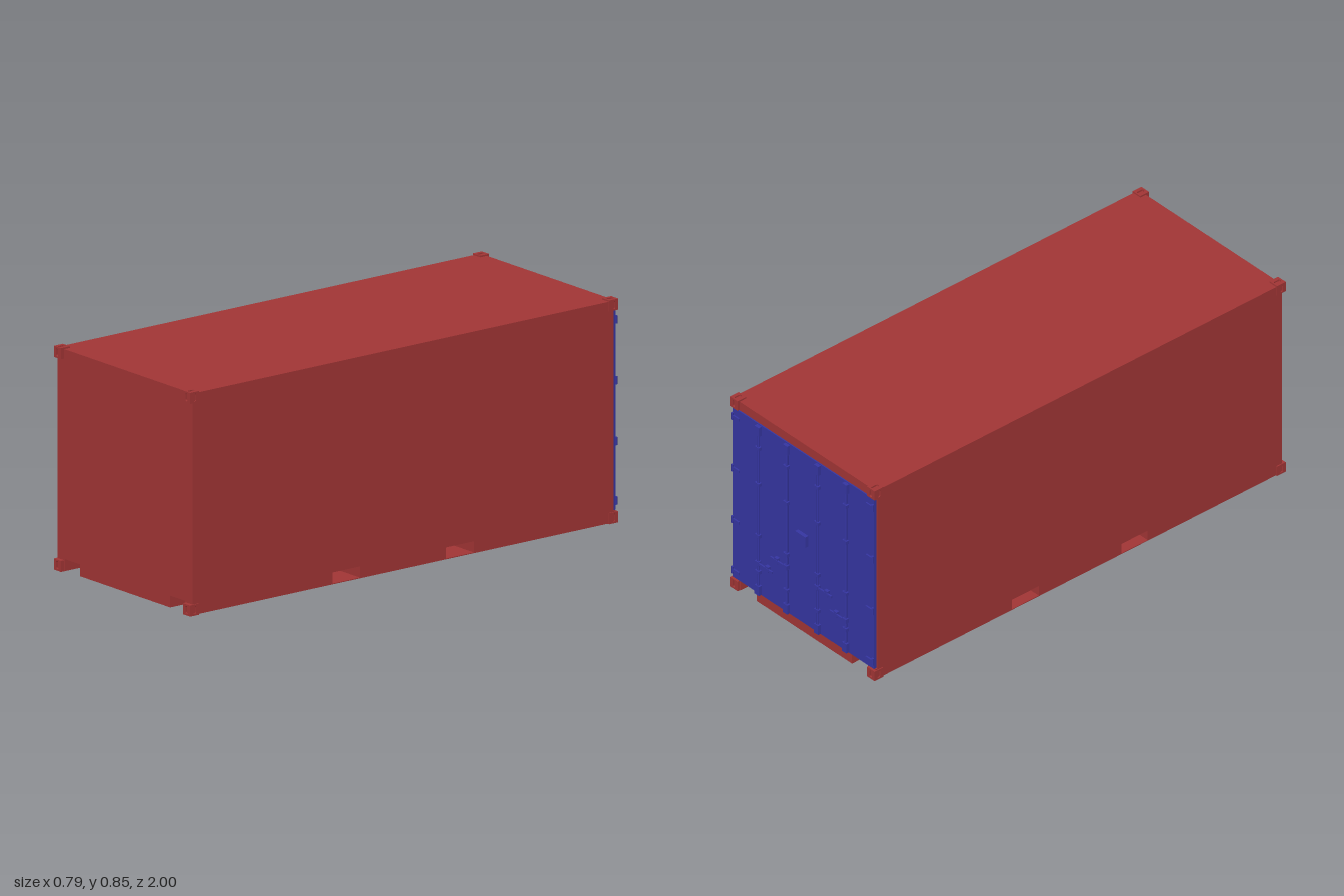
import * as THREE from 'three';

const red = new THREE.MeshStandardMaterial({ color: 0xa13535 });
const blue = new THREE.MeshStandardMaterial({ color: 0x3535a1 });

function add(parent, name, geometry, material, x = 0, y = 0, z = 0) {
  const mesh = new THREE.Mesh(geometry, material);
  mesh.name = name;
  mesh.position.set(x, y, z);
  parent.add(mesh);
  return mesh;
}

// box given by its minimum and maximum on each axis
function span(parent, name, material, [x0, x1], [y0, y1], [z0, z1]) {
  return add(parent, name, new THREE.BoxGeometry(x1 - x0, y1 - y0, z1 - z0), material,
    (x0 + x1) / 2, (y0 + y1) / 2, (z0 + z1) / 2);
}

// square plate with an upright oval slot, facing +z
function slottedPlate(size, thickness) {
  const h = size / 2, r = 0.0065, s = 0.009;
  const shape = new THREE.Shape([[-h, -h], [h, -h], [h, h], [-h, h]].map(p => new THREE.Vector2(...p)));
  const slot = new THREE.Path();
  slot.absarc(0, s, r, 0, Math.PI);
  slot.absarc(0, -s, r, Math.PI, Math.PI * 2);
  slot.closePath();
  shape.holes.push(slot);
  return new THREE.ExtrudeGeometry(shape, { depth: thickness, bevelEnabled: false, curveSegments: 6 });
}

// corner casting: inner core with slotted plates on its three outer faces
function cornerCasting(sx, sy, sz) {
  const g = new THREE.Group();
  g.name = 'cornerCasting';
  const size = 0.042, t = 0.007, h = size / 2;
  add(g, 'castingCore', new THREE.BoxGeometry(size - t, size - t, size - t), red, -sx * t / 2, -sy * t / 2, -sz * t / 2);
  const plate = slottedPlate(size, t);
  const face = (name, dir, rx, ry) => {
    const m = add(g, name, plate, red, ...dir.map(d => d * (h - t)));
    m.rotation.set(rx, ry, 0);
  };
  face('castingEnd', [0, 0, sz], 0, sz > 0 ? 0 : Math.PI);
  face('castingSide', [sx, 0, 0], 0, sx * Math.PI / 2);
  face('castingCap', [0, sy, 0], -sy * Math.PI / 2, 0);
  return g;
}

export function createModel() {
  const model = new THREE.Group();
  model.name = 'shippingContainer';
  const W = 0.393, front = 0.985, back = -0.972, bottom = 0.002, baseTop = 0.047, top = 0.84;

  // main body and rear header beam
  span(model, 'body', red, [-W, W], [baseTop, top], [back, front]);
  span(model, 'rearHeader', red, [-W, W], [0.802, top], [-0.98, back]);

  // base outline with open end notches and fork pockets in both sides
  const sill = -0.98, nIn = 0.262, nOut = 0.35, nDeep = 0.13, pDeep = 0.15;
  const pockets = [[0.335, 0.208], [-0.192, -0.322]];
  const half = [[nIn, front], [nIn, front - nDeep], [nOut, front - nDeep], [nOut, front], [W, front]];
  for (const [a, b] of pockets) half.push([W, a], [W - pDeep, a], [W - pDeep, b], [W, b]);
  half.push([W, sill], [nOut, sill], [nOut, sill + nDeep], [nIn, sill + nDeep], [nIn, sill]);
  const outline = [...half, ...half.map(([x, z]) => [-x, z]).reverse()];
  const base = new THREE.ExtrudeGeometry(
    new THREE.Shape(outline.map(([x, z]) => new THREE.Vector2(x, -z))),
    { depth: baseTop - bottom, bevelEnabled: false });
  base.rotateX(-Math.PI / 2);
  add(model, 'baseFrame', base, red, 0, bottom, 0);

  // thin floors of the fork pockets
  for (const s of [-1, 1]) for (const [a, b] of pockets) {
    add(model, 'forkPocketFloor', new THREE.BoxGeometry(pDeep, 0.003, a - b), red,
      s * (W - pDeep / 2), bottom + 0.0015, (a + b) / 2);
  }

  // eight corner castings
  for (const sx of [-1, 1]) for (const sy of [-1, 1]) for (const sz of [-1, 1]) {
    const c = cornerCasting(sx, sy, sz);
    c.position.set(sx * 0.376, sy > 0 ? 0.825 : 0.021, sz > 0 ? 0.979 : -0.969);
    model.add(c);
  }

  // rear doors with locking gear, mirrored about the middle
  const doors = new THREE.Group();
  doors.name = 'rearDoors';
  model.add(doors);
  const face = -0.985, rodZ = -0.991, y0 = 0.047, y1 = 0.802;
  const rod = new THREE.CylinderGeometry(0.0055, 0.0055, y1 - y0 - 0.01, 10);
  const hinge = new THREE.CylinderGeometry(0.005, 0.005, 0.03, 8);
  for (const s of [-1, 1]) {
    add(doors, 'doorLeaf', new THREE.BoxGeometry(0.388, y1 - y0, face * -1 + back), blue,
      s * 0.194, (y0 + y1) / 2, (face + back) / 2);

    for (const [x, handleY, dir] of [[0.24, 0.19, -1], [0.085, 0.255, 1]]) {
      add(doors, 'lockingRod', rod, blue, s * x, (y0 + y1) / 2, rodZ);
      // end cams and rod guides
      for (const y of [0.07, 0.778]) add(doors, 'rodCam', new THREE.BoxGeometry(0.024, 0.04, 0.014), blue, s * x, y, -0.992);
      for (const y of [0.15, 0.31, 0.54, 0.7]) add(doors, 'rodGuide', new THREE.BoxGeometry(0.022, 0.014, 0.014), blue, s * x, y, -0.992);
      // handle with hub and catch
      add(doors, 'handleHub', new THREE.BoxGeometry(0.02, 0.018, 0.015), blue, s * x, handleY, -0.9925);
      add(doors, 'handle', new THREE.BoxGeometry(0.085, 0.009, 0.006), blue, s * (x + dir * 0.04), handleY, -0.996);
      add(doors, 'handleCatch', new THREE.BoxGeometry(0.018, 0.024, 0.013), blue, s * (x + dir * 0.052), handleY, -0.9915);
    }

    // hinges on the outer edge
    for (const y of [0.08, 0.305, 0.535, 0.765]) {
      add(doors, 'hingePin', hinge, blue, s * 0.385, y, -0.989);
      add(doors, 'hingeStrap', new THREE.BoxGeometry(0.035, 0.012, 0.006), blue, s * 0.366, y, -0.988);
    }
  }
  // cover box over the door seam
  add(doors, 'lockBox', new THREE.BoxGeometry(0.056, 0.046, 0.015), blue, 0, 0.425, -0.9925);
  return model;
}
